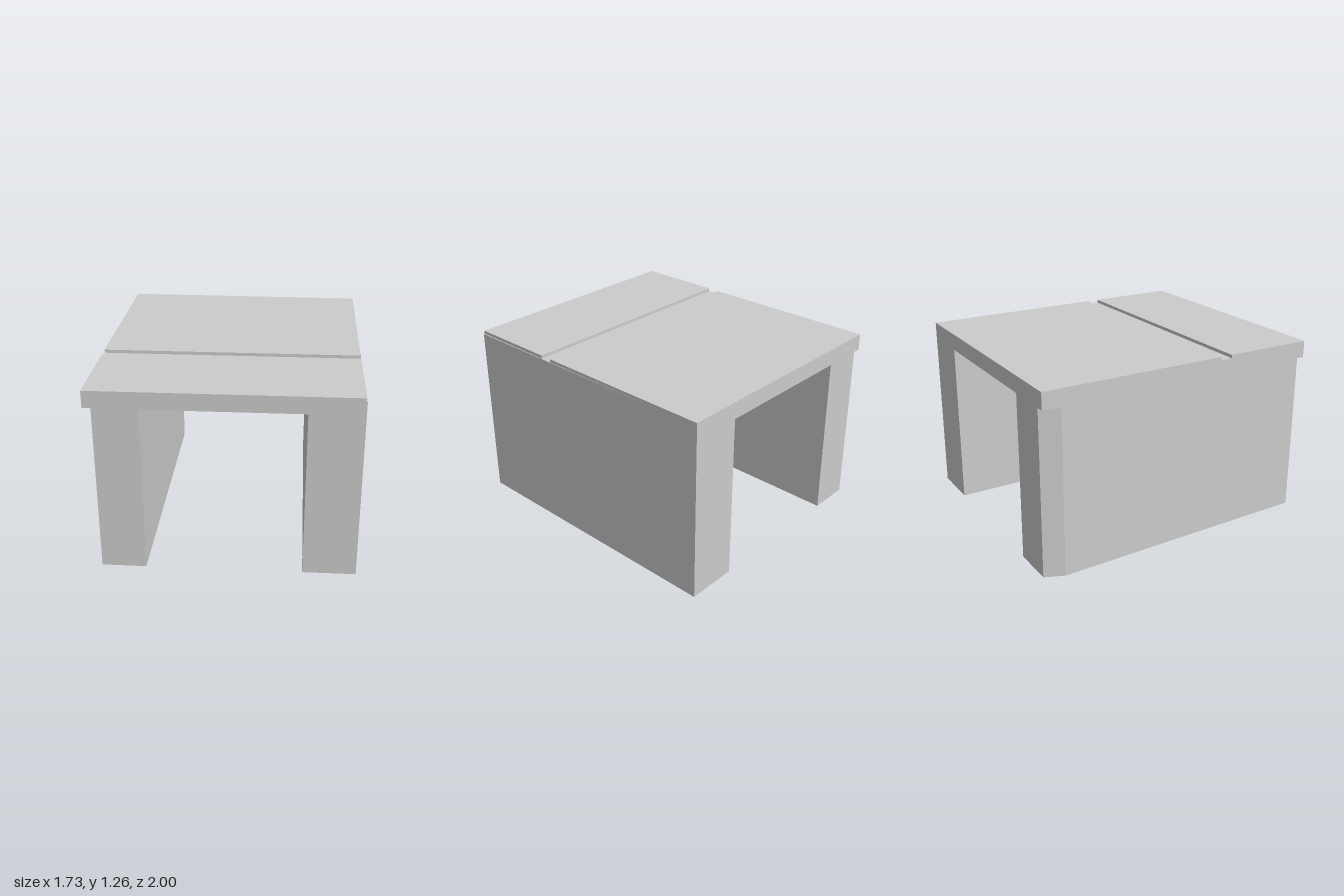
import * as THREE from 'three';

const W = 0.867;        // half width
const UNDER = 1.145;    // underside of the slab
const GROOVE = 1.238;   // floor of the groove
const TOP = 1.26;

// the front end and the groove run very slightly out of square
const skew = (z, x) => z - 0.0075 * (x + W) / W;

export function createModel() {
  const group = new THREE.Group();
  const material = new THREE.MeshStandardMaterial({ color: 0xcccccc, flatShading: true });

  // upright prism over a plan outline of [x, z] points
  const prism = (name, plan, y0, y1) => {
    const shape = new THREE.Shape(plan.map(([x, z]) => new THREE.Vector2(x, -z)));
    const geometry = new THREE.ExtrudeGeometry(shape, { depth: y1 - y0, bevelEnabled: false });
    geometry.rotateX(-Math.PI / 2).translate(0, y0, 0);
    const mesh = new THREE.Mesh(geometry, material);
    mesh.name = name;
    group.add(mesh);
  };

  // plain wall, flush with the slab
  prism('leftWall', [
    [0.517, -1], [W, -1], [W, skew(1, W)], [0.517, skew(1, 0.517)],
  ], 0, UNDER);

  // wall with a chamfered back corner, tapering in towards the front
  prism('rightWall', [
    [-0.812, -1], [-0.517, -1], [-0.517, skew(1, -0.517)], [-0.812, skew(1, -0.812)], [-W, -0.87],
  ], 0, UNDER);

  // roof slab up to the groove floor
  prism('roofSlab', [[-W, -1], [W, -1], [W, skew(1, W)], [-W, 1]], UNDER, GROOVE);

  // top layer either side of the groove, trimmed slightly along the left edge
  prism('roofTopBack', [
    [-W, -1], [W, -1], [W, -0.8], [0.863, skew(0.292, W)], [-W, 0.292],
  ], GROOVE, TOP);
  prism('roofTopFront', [
    [-W, 0.377], [0.862, skew(0.377, W)], [0.859, skew(1, W)], [-W, 1],
  ], GROOVE, TOP);

  return group;
}
